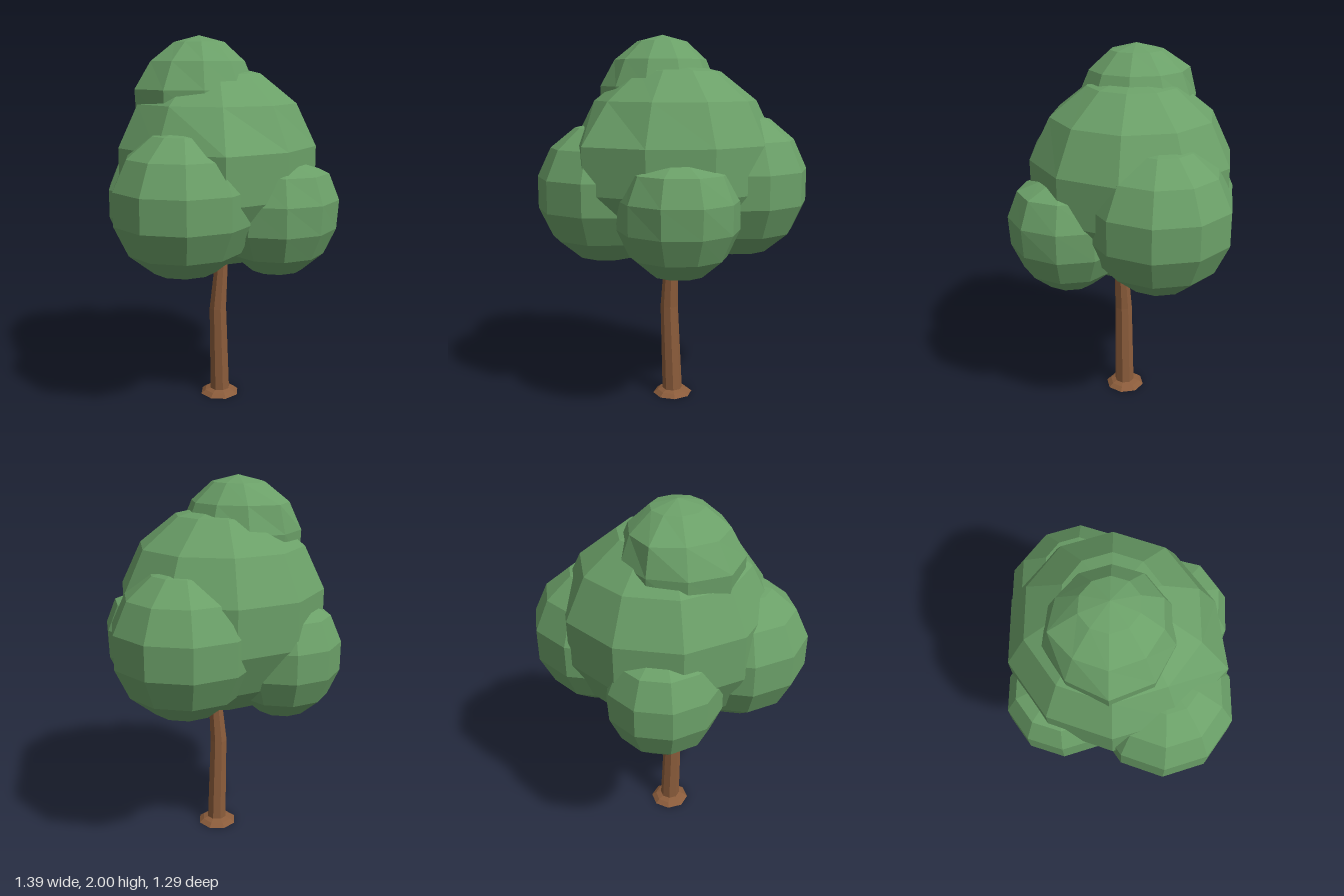
import * as THREE from 'three';

const leafGreen = new THREE.MeshStandardMaterial({ color: 0x6ba068, flatShading: true });
leafGreen.name = 'leafGreen';
const barkBrown = new THREE.MeshStandardMaterial({ color: 0x8b5c3b, flatShading: true });
barkBrown.name = 'barkBrown';

// One faceted clump of leaves: ten sides, seven rows, top and bottom tips pressed in to a given height.
// Each bulge [direction, amount, tightness] swells the clump outwards on one side.
function leafClump(name, [x, y, z], [rx, ry, rz], { top = 1, bottom = -0.96, bulges = [] } = {}) {
  const geo = new THREE.SphereGeometry(1, 10, 7).rotateY(Math.PI / 2);
  const p = geo.attributes.position;
  const v = new THREE.Vector3();
  for (let i = 0; i < p.count; i++) {
    v.fromBufferAttribute(p, i);
    let s = 1;
    for (const [dir, amount, tightness] of bulges) {
      const facing = v.dot(new THREE.Vector3(...dir).normalize());
      s += amount * Math.max(0, facing) ** tightness;
    }
    p.setXYZ(i, v.x * rx * s, THREE.MathUtils.clamp(v.y, bottom, top) * ry, v.z * rz * s);
  }
  geo.computeVertexNormals();
  const mesh = new THREE.Mesh(geo, leafGreen);
  mesh.name = name;
  mesh.position.set(x, y, z);
  return mesh;
}

// Closed loft through rings of [x, y, z, radius]
function loft(name, rings, sides = 8) {
  const pos = [], idx = [];
  for (const [x, y, z, r] of rings) {
    for (let i = 0; i < sides; i++) {
      const a = ((i + 0.5) / sides) * Math.PI * 2;
      pos.push(x + Math.sin(a) * r, y, z + Math.cos(a) * r);
    }
  }
  for (let k = 0; k < rings.length - 1; k++) {
    for (let i = 0; i < sides; i++) {
      const a = k * sides + i, b = k * sides + (i + 1) % sides;
      idx.push(a, b, b + sides, a, b + sides, a + sides);
    }
  }
  const last = (rings.length - 1) * sides;
  for (let i = 1; i < sides - 1; i++) {
    idx.push(0, i + 1, i, last, last + i, last + i + 1);
  }
  const geo = new THREE.BufferGeometry();
  geo.setAttribute('position', new THREE.Float32BufferAttribute(pos, 3));
  geo.setIndex(idx);
  geo.computeVertexNormals();
  const mesh = new THREE.Mesh(geo, barkBrown);
  mesh.name = name;
  return mesh;
}

export function createModel() {
  const tree = new THREE.Group();
  tree.name = 'tree';

  // Bent trunk, spreading foot and a short branch reaching into the leaves
  tree.add(loft('trunkFoot', [[-0.008, 0, 0.015, 0.11], [-0.008, 0.02, 0.015, 0.085], [-0.008, 0.03, 0.018, 0.054]]));
  tree.add(loft('trunk', [
    [-0.008, 0.015, 0.018, 0.056],
    [-0.025, 0.515, 0.02, 0.049],
    [-0.01, 0.8, 0.035, 0.037],
    [0, 1.0, 0.03, 0.03],
  ]));
  tree.add(loft('branch', [[-0.02, 0.74, 0.03, 0.016], [-0.09, 0.86, 0.03, 0.014]], 6));

  // Crown
  const crown = new THREE.Group();
  crown.name = 'crown';
  crown.add(
    leafClump('mainLeaves', [0, 1.31, -0.025], [0.56, 0.55, 0.55], {
      bulges: [[[-0.57, 0, 0.82], 0.14, 12]],
    }),
    leafClump('topLeaves', [-0.085, 1.65, -0.06], [0.305, 0.35, 0.317], {
      bulges: [[[-1, 0.1, -0.2], 0.2, 3], [[0, 0.62, -0.78], 0.16, 12]],
    }),
    leafClump('leftLeaves', [0.335, 1.2, -0.1], [0.382, 0.395, 0.385]),
    leafClump('rightLeaves', [-0.345, 1.165, 0.13], [0.382, 0.385, 0.37]),
    leafClump('frontLeaves', [0.115, 1.095, 0.335], [0.322, 0.34, 0.312], {
      top: 0.75, bottom: -0.93, bulges: [[[0.3, 0.62, 0.72], 0.08, 6]],
    }),
    leafClump('backLeaves', [-0.15, 1.095, -0.335], [0.305, 0.345, 0.312], { top: 0.78 }),
  );
  tree.add(crown);
  return tree;
}
